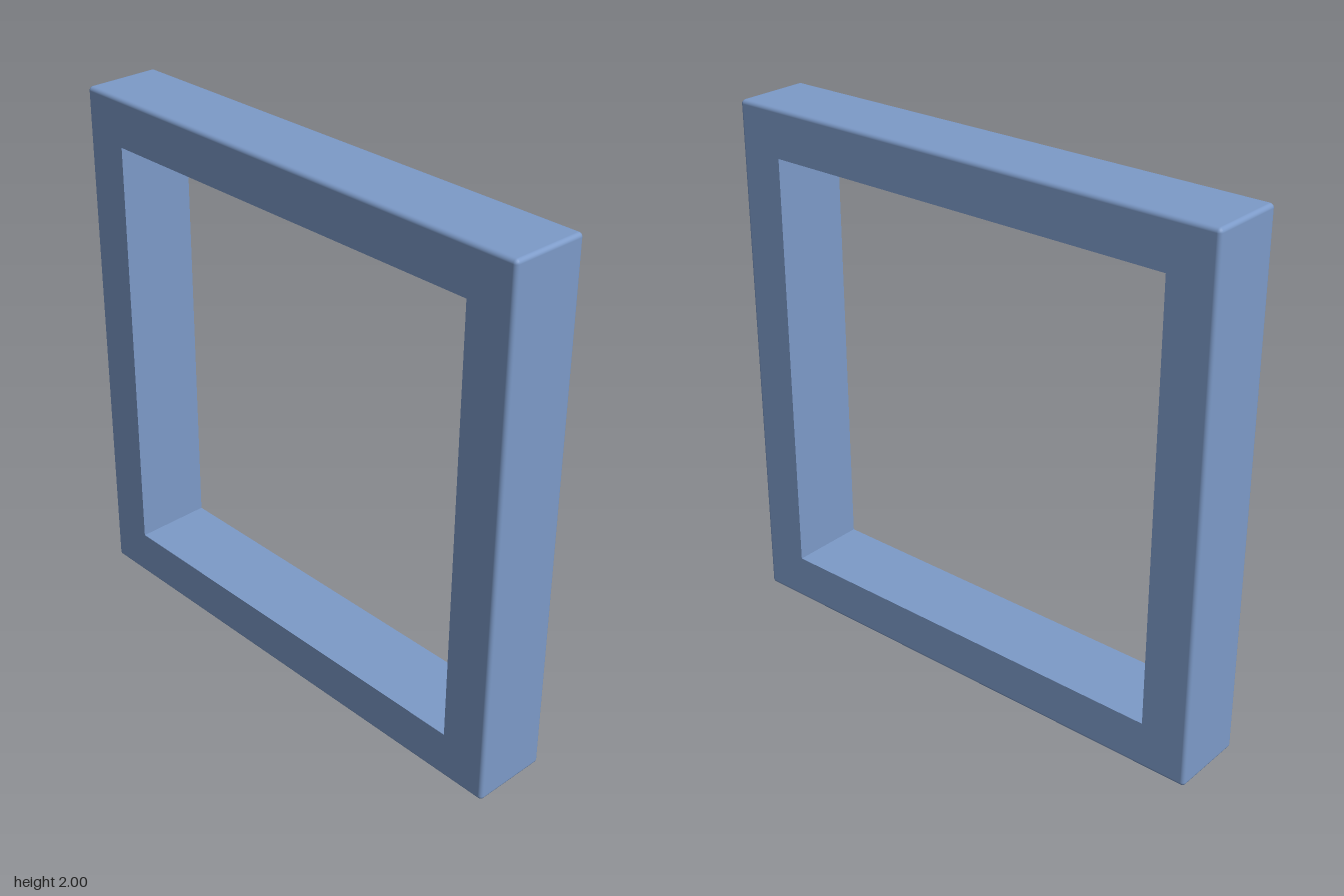
import * as THREE from 'three';

const OUTER = 1, INNER = 0.82, DEPTH = 0.147, ROUND = 0.015, STEPS = 5;

// Square frame swept from one cross-section: rounded outer edges, sharp opening.
function frameGeometry() {
  // Rows: corner centre, corner radius, z, radial normal, z normal
  const rows = [[INNER, 0, DEPTH, 0, 1]];
  for (const side of [1, -1]) {
    for (let i = 0; i <= STEPS; i++) {
      const t = (side > 0 ? 1 - i / STEPS : -i / STEPS) * Math.PI / 2;
      const cos = i === (side > 0 ? 0 : STEPS) ? 0 : Math.cos(t);
      rows.push([OUTER - ROUND, ROUND * cos, side * (DEPTH - ROUND) + ROUND * Math.sin(t), cos, Math.sin(t)]);
    }
  }
  rows.push([INNER, 0, -DEPTH, 0, -1], [INNER, 0, -DEPTH, -1, 0], [INNER, 0, DEPTH, -1, 0]);

  // Each row runs once around the four corners
  const pos = [], nor = [], index = [];
  const n = 4 * (STEPS + 1);
  for (const [c, r, z, nr, nz] of rows) {
    for (let k = 0; k < 4; k++) {
      const mid = (k + 0.5) * Math.PI / 2;
      const cx = c * Math.sign(Math.cos(mid)), cy = c * Math.sign(Math.sin(mid));
      for (let s = 0; s <= STEPS; s++) {
        const a = (k + s / STEPS) * Math.PI / 2;
        pos.push(cx + r * Math.cos(a), cy + r * Math.sin(a), z);
        nor.push(nr * Math.cos(a), nr * Math.sin(a), nz);
      }
    }
  }

  // Join neighbouring rows, leaving out triangles without area
  const corner = i => new THREE.Vector3().fromArray(pos, i * 3);
  const addTriangle = (a, b, c) => {
    const t = new THREE.Triangle(corner(a), corner(b), corner(c));
    if (t.getArea() > 1e-9) index.push(a, b, c);
  };
  for (let i = 0; i < rows.length - 1; i++) {
    for (let j = 0; j < n; j++) {
      const j2 = (j + 1) % n;
      const a = i * n + j, b = a + n, d = i * n + j2, c = d + n;
      addTriangle(a, b, c);
      addTriangle(a, c, d);
    }
  }

  const geometry = new THREE.BufferGeometry();
  geometry.setAttribute('position', new THREE.Float32BufferAttribute(pos, 3));
  geometry.setAttribute('normal', new THREE.Float32BufferAttribute(nor, 3));
  geometry.setIndex(index);
  return geometry;
}

export function createModel() {
  const group = new THREE.Group();
  group.name = 'squareFrame';
  const frame = new THREE.Mesh(frameGeometry(), new THREE.MeshStandardMaterial({ color: 0x7c9ac8 }));
  frame.name = 'frame';
  frame.position.y = OUTER;
  group.add(frame);
  return group;
}
